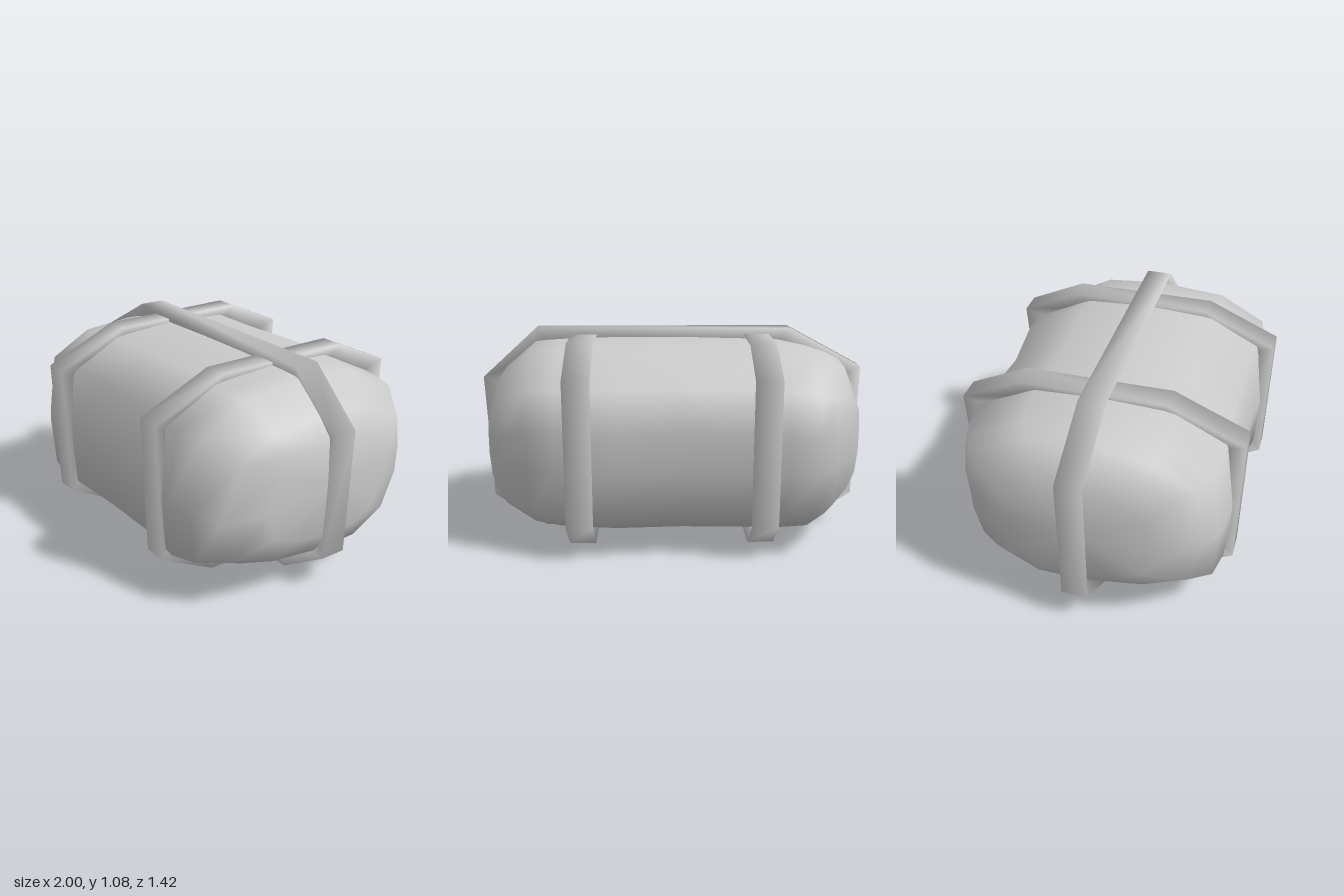
import * as THREE from 'three';

const material = new THREE.MeshStandardMaterial({ color: 0xcccccc });

function named(name, geometry) {
  const mesh = new THREE.Mesh(geometry, material);
  mesh.name = name;
  return mesh;
}

function indexed(positions, index) {
  const geometry = new THREE.BufferGeometry();
  geometry.setAttribute('position', new THREE.Float32BufferAttribute(positions, 3));
  geometry.setIndex(index);
  geometry.computeVertexNormals();
  return geometry;
}

// Soft padded body: one unit profile (z, y) scaled along a row of stations.
function bundleGeometry() {
  const profile = [
    [0, 1], [0.55, 0.93], [0.92, 0.64], [1, -0.1], [0.97, -0.68], [0.55, -0.9],
    [0, -1], [-0.5, -0.98], [-0.91, -0.7], [-0.98, -0.2], [-1, 0.2], [-0.96, 0.64], [-0.5, 0.95],
  ];
  // x, back z, front z, bottom y, top y
  const stations = [
    [-0.94, -0.38, 0.36, 0.28, 0.79],
    [-0.88, -0.5, 0.5, 0.19, 0.92],
    [-0.8, -0.59, 0.59, 0.11, 0.96],
    [-0.7, -0.65, 0.64, 0.065, 0.99],
    [-0.55, -0.68, 0.67, 0.06, 1.02],
    [-0.05, -0.635, 0.65, 0.06, 1.035],
    [0.3, -0.68, 0.65, 0.06, 1.035],
    [0.58, -0.65, 0.69, 0.07, 1.025],
    [0.72, -0.6, 0.655, 0.09, 1.015],
    [0.88, -0.5, 0.605, 0.17, 0.88],
    [0.94, -0.34, 0.38, 0.28, 0.77],
  ];
  const n = profile.length;
  const positions = [];
  const index = [];
  stations.forEach(([x, back, front, bottom, top], i) => {
    profile.forEach(([u, v], j) => {
      // Some corners slump inwards towards the ends
      const slumped = Math.abs(x) > 0.75 && (v < -0.5 || (x > 0 && u > 0 && v > 0.5));
      const z = (u > 0 ? u * front : -u * back) * (slumped ? 0.9 : 1);
      positions.push(x, (top + bottom) / 2 + v * (top - bottom) / 2, z);
      if (i === 0) return;
      const a = (i - 1) * n + j, b = (i - 1) * n + (j + 1) % n;
      index.push(a, b, a + n, b, b + n, a + n);
    });
  });
  // Blunt tips close both ends
  const last = (stations.length - 1) * n;
  const tip = last + n;
  positions.push(-0.97, 0.56, 0, 0.97, 0.57, 0);
  for (let j = 0; j < n; j++) {
    const k = (j + 1) % n;
    index.push(tip, k, j, tip + 1, last + j, last + k);
  }
  return indexed(positions, index);
}

// Closed strap: flat outer face on the outline, narrowing to an inner ridge.
function strapGeometry(outline, width, depth) {
  const box = new THREE.Box2().setFromPoints(outline.map(([a, b]) => new THREE.Vector2(a, b)));
  const centre = box.getCenter(new THREE.Vector2());
  const size = box.getSize(new THREE.Vector2());
  const inset = (v, c, s) => c + (v - c) * (1 - 2 * depth / s);
  const positions = [];
  const index = [];
  const total = outline.length * 3;
  outline.forEach(([a, b], i) => {
    positions.push(
      a, b, width / 2,
      a, b, -width / 2,
      inset(a, centre.x, size.x), inset(b, centre.y, size.y), 0,
    );
    for (let j = 0; j < 3; j++) {
      const p = i * 3 + j, q = i * 3 + (j + 1) % 3;
      const p2 = (p + 3) % total, q2 = (q + 3) % total;
      index.push(p, p2, q, q, p2, q2);
    }
  });
  return indexed(positions, index);
}

export function createModel() {
  const group = new THREE.Group();
  group.name = 'strappedBundle';
  group.add(named('bundle', bundleGeometry()));

  // Lengthwise strap, outline in (x, y), clockwise
  const longStrap = named('longStrap', strapGeometry([
    [-1, 0.875], [-0.62, 1.08], [0.72, 1.08], [1, 0.825],
    [0.965, 0.175], [0.69, 0], [-0.69, 0], [-0.975, 0.175],
  ], 0.135, 0.11));
  longStrap.position.z = -0.007;
  group.add(longStrap);

  // Two cross straps, outline in (z, y), clockwise
  const crossGeometry = strapGeometry([
    [-0.71, 0.915], [-0.41, 1.05], [0.33, 1.045], [0.71, 0.875],
    [0.69, 0.175], [0.4, 0.03], [-0.45, 0.03], [-0.66, 0.18],
  ], 0.133, 0.11).rotateY(-Math.PI / 2);
  for (const x of [-0.442, 0.463]) {
    const strap = named(x > 0 ? 'leftCrossStrap' : 'rightCrossStrap', crossGeometry);
    strap.position.x = x;
    group.add(strap);
  }
  return group;
}
